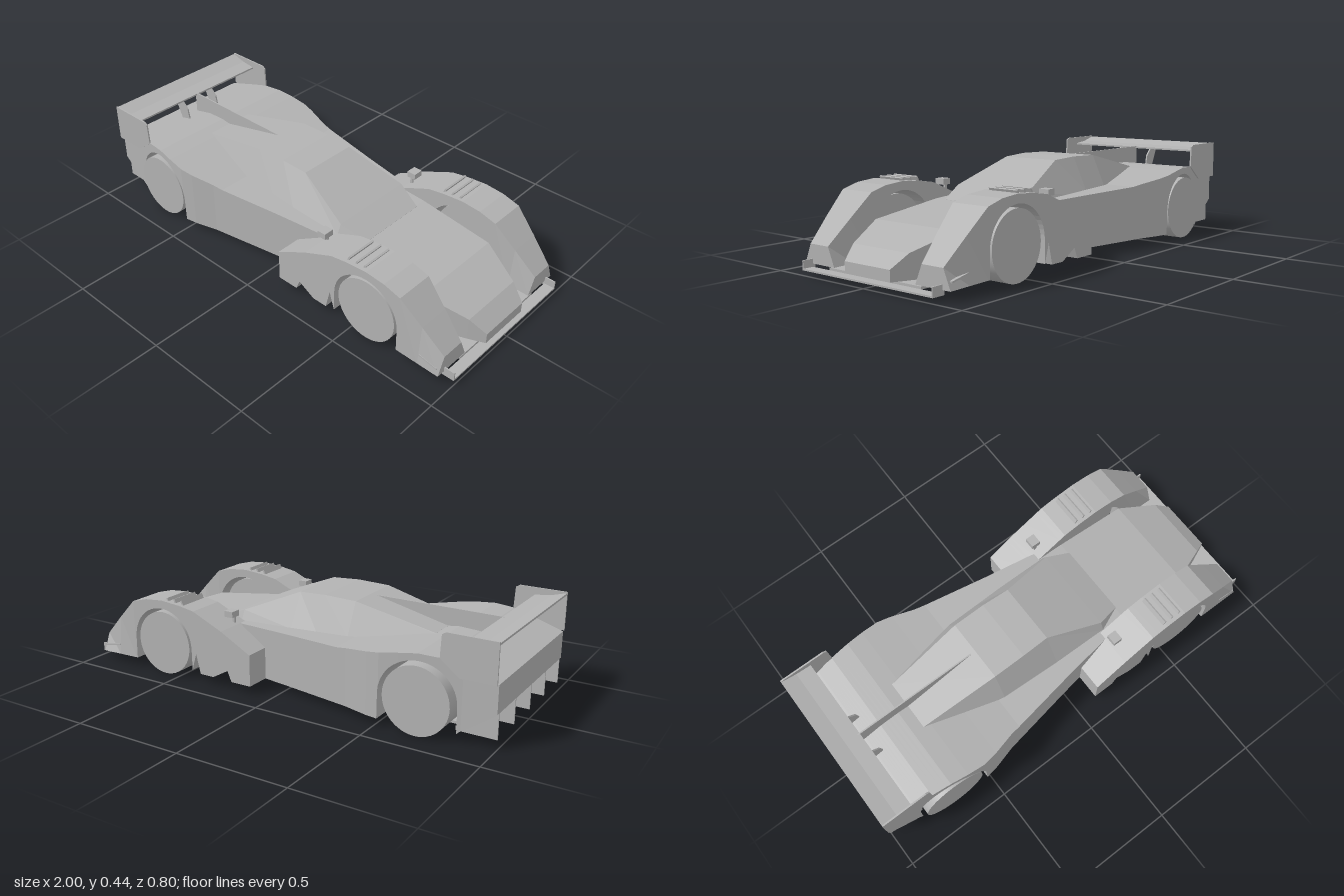
import * as THREE from 'three';

const paint = new THREE.MeshStandardMaterial({ color: 0xb2b2b2 });
paint.name = 'grey';

// Linear lookup in a table of [x, value] pairs
function lookup(table, x) {
  if (x <= table[0][0]) return table[0][1];
  for (let i = 1; i < table.length; i++) {
    const [x0, v0] = table[i - 1], [x1, v1] = table[i];
    if (x <= x1) return v0 + (v1 - v0) * (x - x0) / (x1 - x0);
  }
  return table[table.length - 1][1];
}

// Flat-faced skin over sections {x, loop: [[z, y], ...]} ordered by rising x
function loft(sections) {
  const pos = [];
  const tri = (...pts) => pts.forEach(p => pos.push(...p));
  const rings = sections.map(s => s.loop.map(([z, y]) => [s.x, y, z]));
  const n = rings[0].length;
  for (let i = 0; i < rings.length - 1; i++) {
    for (let j = 0; j < n; j++) {
      const k = (j + 1) % n;
      const a = rings[i][j], b = rings[i + 1][j], c = rings[i + 1][k], d = rings[i][k];
      tri(a, d, c);
      tri(a, c, b);
    }
  }
  const first = rings[0], last = rings[rings.length - 1];
  for (let j = 1; j < n - 1; j++) {
    tri(first[0], first[j + 1], first[j]);
    tri(last[0], last[j], last[j + 1]);
  }
  const geo = new THREE.BufferGeometry();
  geo.setAttribute('position', new THREE.Float32BufferAttribute(pos, 3));
  geo.computeVertexNormals();
  return geo;
}

// Stations following a wheel arch, plus the lower edge it cuts
const WHEEL_Y = 0.145, ARCH_R = 0.163;
function archStations(cx) {
  const xs = [cx - ARCH_R - 0.001, cx + ARCH_R + 0.001];
  for (let i = 0; i <= 24; i++) xs.push(cx - ARCH_R * Math.cos(Math.PI * i / 24));
  return xs;
}
function archEdge(x, cx, base) {
  const d = ARCH_R * ARCH_R - (x - cx) ** 2;
  return d > -1e-9 ? WHEEL_Y + Math.sqrt(Math.max(d, 0)) : base;
}
const stations = (...lists) => [...new Set(lists.flat())].sort((a, b) => a - b);
const xsOf = table => table.map(p => p[0]);

export function createModel() {
  const car = new THREE.Group();
  car.name = 'raceCar';
  const add = (name, geo, x = 0, y = 0, z = 0) => {
    const mesh = new THREE.Mesh(geo, paint);
    mesh.name = name;
    mesh.position.set(x, y, z);
    car.add(mesh);
    return mesh;
  };
  const box = (name, x0, x1, y0, y1, z0, z1) =>
    add(name, new THREE.BoxGeometry(x1 - x0, y1 - y0, z1 - z0), (x0 + x1) / 2, (y0 + y1) / 2, (z0 + z1) / 2);
  // Upright plate in the x-y plane, centred on z
  const plate = (name, pts, z, t) => {
    const shape = new THREE.Shape(pts.map(p => new THREE.Vector2(...p)));
    return add(name, new THREE.ExtrudeGeometry(shape, { depth: t, bevelEnabled: false }), 0, 0, z - t / 2);
  };

  // Main body with the rear arches and the nose
  const REAR = -0.68, FRONT = 0.58;
  const deck = [[-1, 0.27], [-0.85, 0.315], [-0.77, 0.334], [-0.68, 0.338], [-0.6, 0.328], [-0.45, 0.303],
    [-0.3, 0.28], [0.25, 0.26], [0.38, 0.252], [0.73, 0.205], [0.91, 0.14], [0.98, 0.085]];
  const width = [[-1, 0.36], [-0.86, 0.365], [-0.6, 0.395], [-0.52, 0.4], [-0.46, 0.39], [-0.35, 0.36],
    [0, 0.3], [0.23, 0.265], [0.4, 0.225], [0.73, 0.225], [0.91, 0.155], [0.98, 0.125]];
  const under = [[-1, 0.15], [-0.93, 0.1], [-0.85, 0.045], [-0.843, 0.036], [0.98, 0.038]];
  const bodyXs = stations(xsOf(deck), xsOf(width), xsOf(under), archStations(REAR));
  add('body', loft(bodyXs.map(x => {
    const w = lookup(width, x), t = lookup(deck, x), b = archEdge(x, REAR, lookup(under, x));
    return { x, loop: [[-w, b], [-w, t], [w, t], [w, b]] };
  })));
  box('floor', -0.85, 0.95, 0.026, 0.037, -0.255, 0.255);

  // Canopy: [x, roof half width, roof y, base half width, base y]
  const canopy = [[-0.63, 0.118, 0.332, 0.12, 0.328], [-0.27, 0.145, 0.415, 0.21, 0.275],
    [-0.12, 0.145, 0.419, 0.215, 0.27], [0.01, 0.14, 0.412, 0.22, 0.265],
    [0.27, 0.2, 0.303, 0.222, 0.255], [0.385, 0.17, 0.252, 0.172, 0.248]];
  add('canopy', loft(canopy.map(([x, zt, t, zb, b]) => ({ x, loop: [[-zb, b], [-zt, t], [zt, t], [zb, b]] }))));

  // Tail fin
  plate('tailFin', [[-0.87, 0.3], [-0.27, 0.3], [-0.27, 0.41], [-0.87, 0.41]], 0, 0.006);

  // Front fender outlines
  const fenderTop = [[0.1, 0.18], [0.25, 0.26], [0.4, 0.325], [0.48, 0.338], [0.58, 0.346],
    [0.67, 0.338], [0.75, 0.316], [0.85, 0.22], [0.95, 0.12]];
  const fenderBase = [[0.1, 0.038], [0.2, 0.038], [0.22, 0.085], [0.3, 0.04], [0.37, 0.04],
    [0.392, 0.13], [0.416, 0.05], [0.95, 0.04]];
  const fenderXs = stations(xsOf(fenderTop), xsOf(fenderBase), archStations(FRONT));
  const topInset = [[0.76, 0], [0.95, 0.034]];

  for (const s of [1, -1]) {
    const side = s > 0 ? 'Left' : 'Right';
    const span = (name, x0, x1, y0, y1, zi, zo) =>
      box(name + side, x0, x1, y0, y1, Math.min(s * zi, s * zo), Math.max(s * zi, s * zo));

    // Front fender
    add('frontFender' + side, loft(fenderXs.map(x => {
      const t = lookup(fenderTop, x), b = archEdge(x, FRONT, lookup(fenderBase, x)), k = lookup(topInset, x);
      const loop = [[0.225, b], [0.225 + k, t], [0.4 - k, t], [0.4, b]];
      return { x, loop: s > 0 ? loop : loop.map(([z, y]) => [-z, y]).reverse() };
    })));

    // Fender louvres
    for (let i = 0; i < 3; i++) {
      const fin = span('louvre' + (i + 1), 0.472 + i * 0.04, 0.48 + i * 0.04, 0.33, 0.357, 0.24, 0.382);
      fin.rotation.z = -0.45;
    }

    // Wheels
    for (const [name, x] of [['frontWheel', FRONT], ['rearWheel', REAR]]) {
      const geo = new THREE.CylinderGeometry(0.145, 0.145, 0.13, 48).rotateX(Math.PI / 2);
      add(name + side, geo, x, WHEEL_Y, s * 0.329);
    }

    // Mirror on a short stalk
    span('mirror', 0.248, 0.29, 0.298, 0.325, 0.27, 0.318);
    span('mirrorStalk', 0.262, 0.274, 0.25, 0.3, 0.275, 0.284);

    // Dive plane and splitter end
    const dive = span('divePlane', 0.85, 0.94, 0.076, 0.083, 0.36, 0.398);
    dive.rotation.z = -0.2;
    span('splitterEnd', 0.94, 0.998, 0.02, 0.06, 0.354, 0.36);

    // Rear wing end plate and mount
    plate('wingEndPlate' + side, [[-1, 0.27], [-0.85, 0.27], [-0.768, 0.335], [-0.773, 0.43], [-0.79, 0.44], [-1, 0.44]],
      s * 0.376, 0.007);
    plate('wingMount' + side, [[-0.92, 0.412], [-0.865, 0.29], [-0.815, 0.29], [-0.83, 0.37], [-0.865, 0.405]],
      s * 0.09, 0.007);
  }

  // Rear wing
  plate('rearWing', [[-1, 0.427], [-0.93, 0.403], [-0.86, 0.4], [-0.86, 0.408], [-0.93, 0.416], [-1, 0.436]], 0, 0.75);

  // Front splitter
  box('splitter', 0.95, 0.998, 0.02, 0.027, -0.357, 0.357);

  // Diffuser strakes
  for (let i = -2; i <= 2; i++) {
    plate('diffuserStrake' + (i + 3), [[-1, 0.042], [-0.83, 0.042], [-0.83, 0.06], [-1, 0.17]], i * 0.17, 0.006);
  }
  return car;
}
